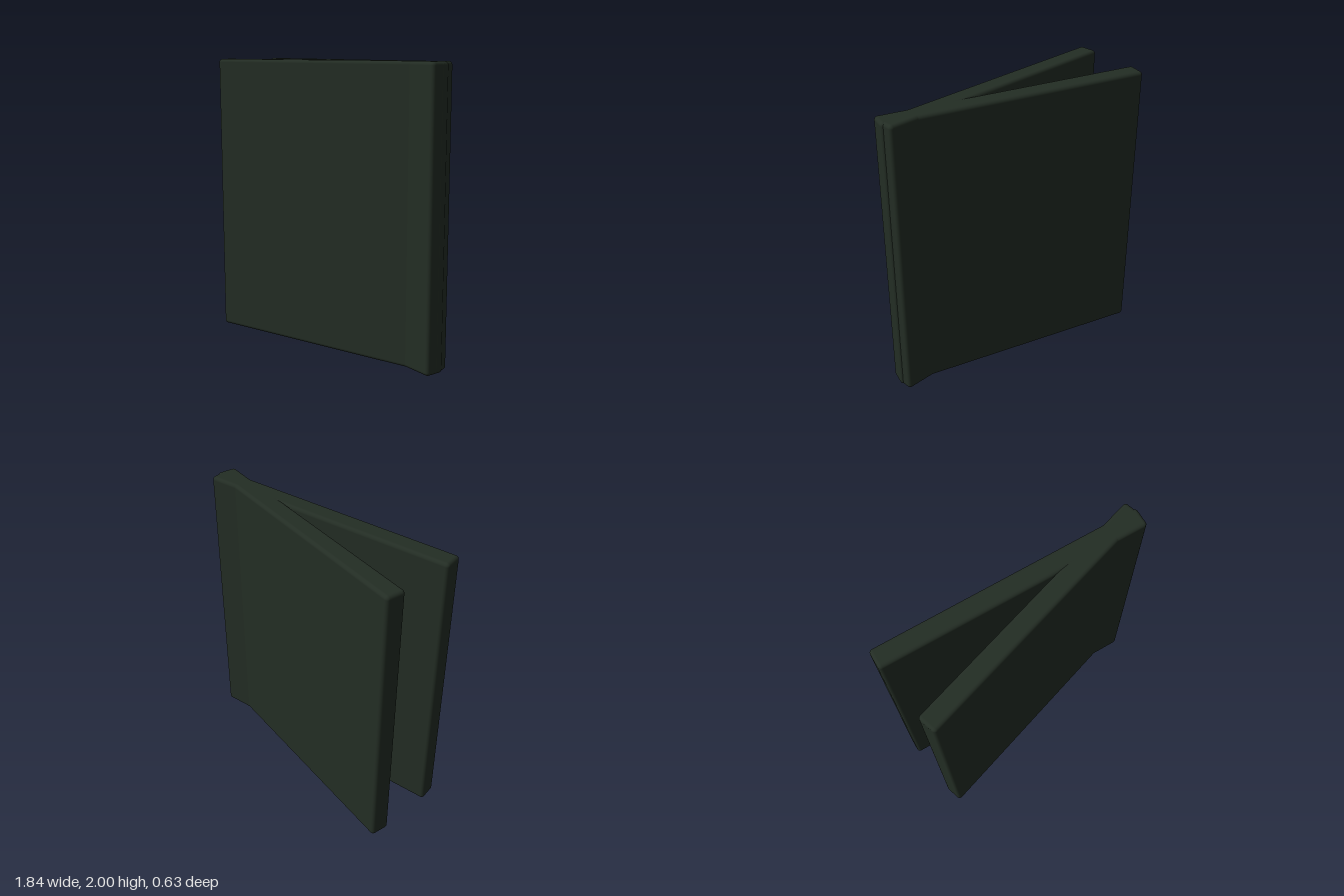
import * as THREE from 'three';
import { RoundedBoxGeometry } from 'three/addons/geometries/RoundedBoxGeometry.js';

export function createModel() {
  const group = new THREE.Group();
  const darkGreen = new THREE.MeshStandardMaterial({ color: 0x232d24 });
  darkGreen.name = 'darkGreen';

  // Two identical soft-edged panels, crossing near the left edge
  const panel = new RoundedBoxGeometry(1.85, 2, 0.138, 4, 0.024);

  const addPanel = (name, z, degrees) => {
    const mesh = new THREE.Mesh(panel, darkGreen);
    mesh.name = name;
    mesh.position.set(-0.002, 1, z);
    mesh.rotation.y = THREE.MathUtils.degToRad(degrees);
    group.add(mesh);
  };

  addPanel('frontPanel', 0.09, 9.8);
  addPanel('backPanel', -0.127, -8);

  return group;
}
